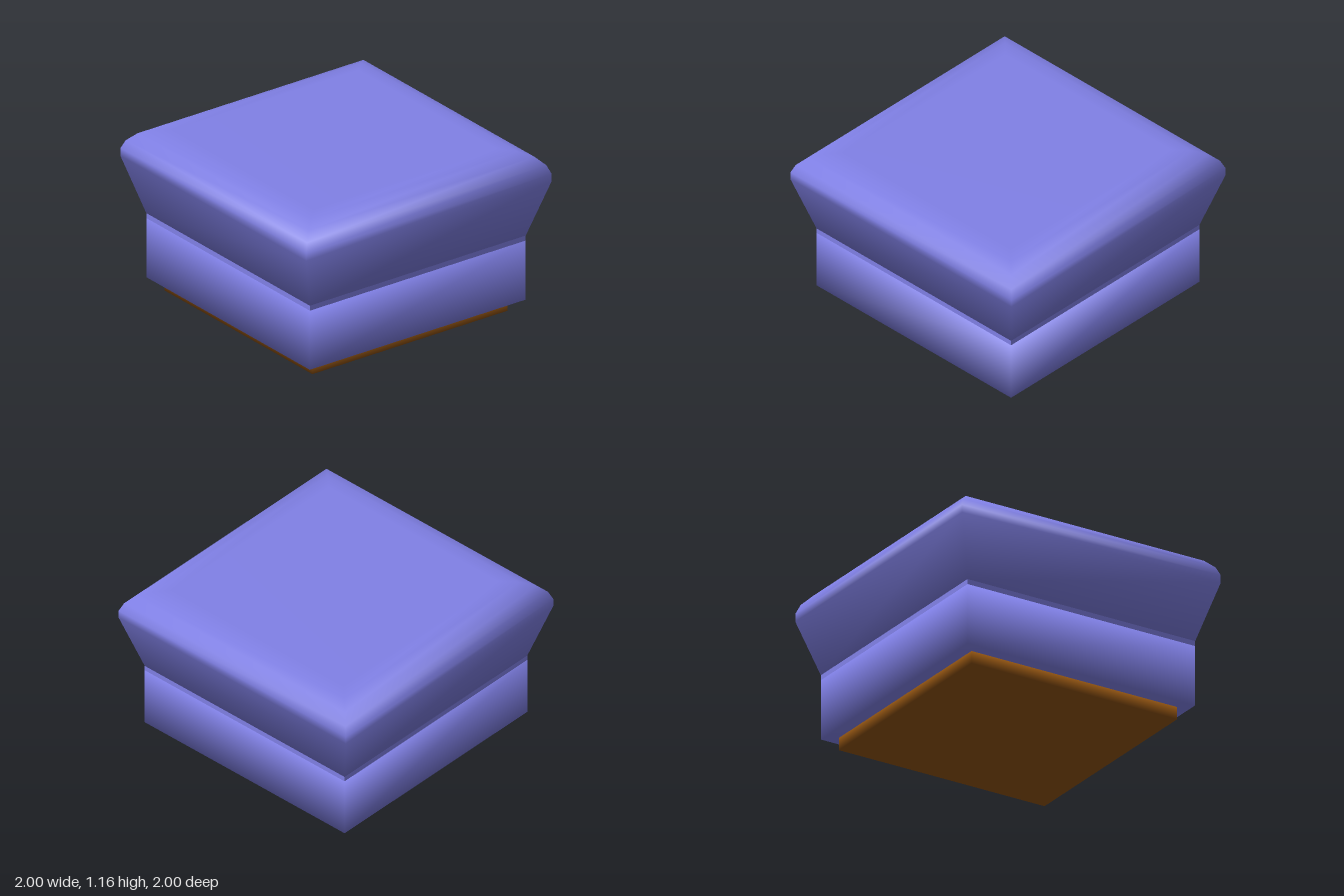
import * as THREE from 'three';

// Closed, smoothly shaded square loft; profile lists [half width, height] from bottom to top.
function squareLoft(name, profile, material) {
  const corners = [[1, 1], [1, -1], [-1, -1], [-1, 1]];
  const positions = [], indices = [];
  for (const [w, y] of profile) {
    for (const [sx, sz] of corners) positions.push(w * sx, y, w * sz);
  }
  for (let r = 0; r < profile.length - 1; r++) {
    for (let i = 0; i < 4; i++) {
      const a = r * 4 + i, b = r * 4 + (i + 1) % 4;
      indices.push(a, b, b + 4, a, b + 4, a + 4);
    }
  }
  // Bottom and top caps
  const t = (profile.length - 1) * 4;
  indices.push(0, 2, 1, 0, 3, 2, t, t + 1, t + 2, t, t + 2, t + 3);

  const geometry = new THREE.BufferGeometry();
  geometry.setAttribute('position', new THREE.Float32BufferAttribute(positions, 3));
  geometry.setIndex(indices);
  geometry.computeVertexNormals();
  const mesh = new THREE.Mesh(geometry, material);
  mesh.name = name;
  return mesh;
}

export function createModel() {
  const fabric = new THREE.MeshStandardMaterial({ color: 0x8080e6 });
  fabric.name = 'violet fabric';
  const wood = new THREE.MeshStandardMaterial({ color: 0x8f5210 });
  wood.name = 'brown wood';

  const group = new THREE.Group();
  group.name = 'footstool';

  // Recessed wooden plinth
  group.add(squareLoft('plinth', [[0.795, 0], [0.795, 0.09]], wood));

  // Upholstered box
  group.add(squareLoft('seatBase', [[0.88, 0.088], [0.88, 0.513]], fabric));

  // Narrow seam band between box and cushion
  const band = new THREE.Mesh(new THREE.BoxGeometry(1.76, 0.036, 1.76), fabric);
  band.name = 'seamBand';
  band.position.y = 0.531;
  group.add(band);

  // Flared cushion with a rounded upper edge
  group.add(squareLoft('cushion', [
    [0.88, 0.549], [1, 0.95], [1, 1.005], [0.975, 1.065],
    [0.92, 1.12], [0.84, 1.152], [0.75, 1.162],
  ], fabric));

  return group;
}
